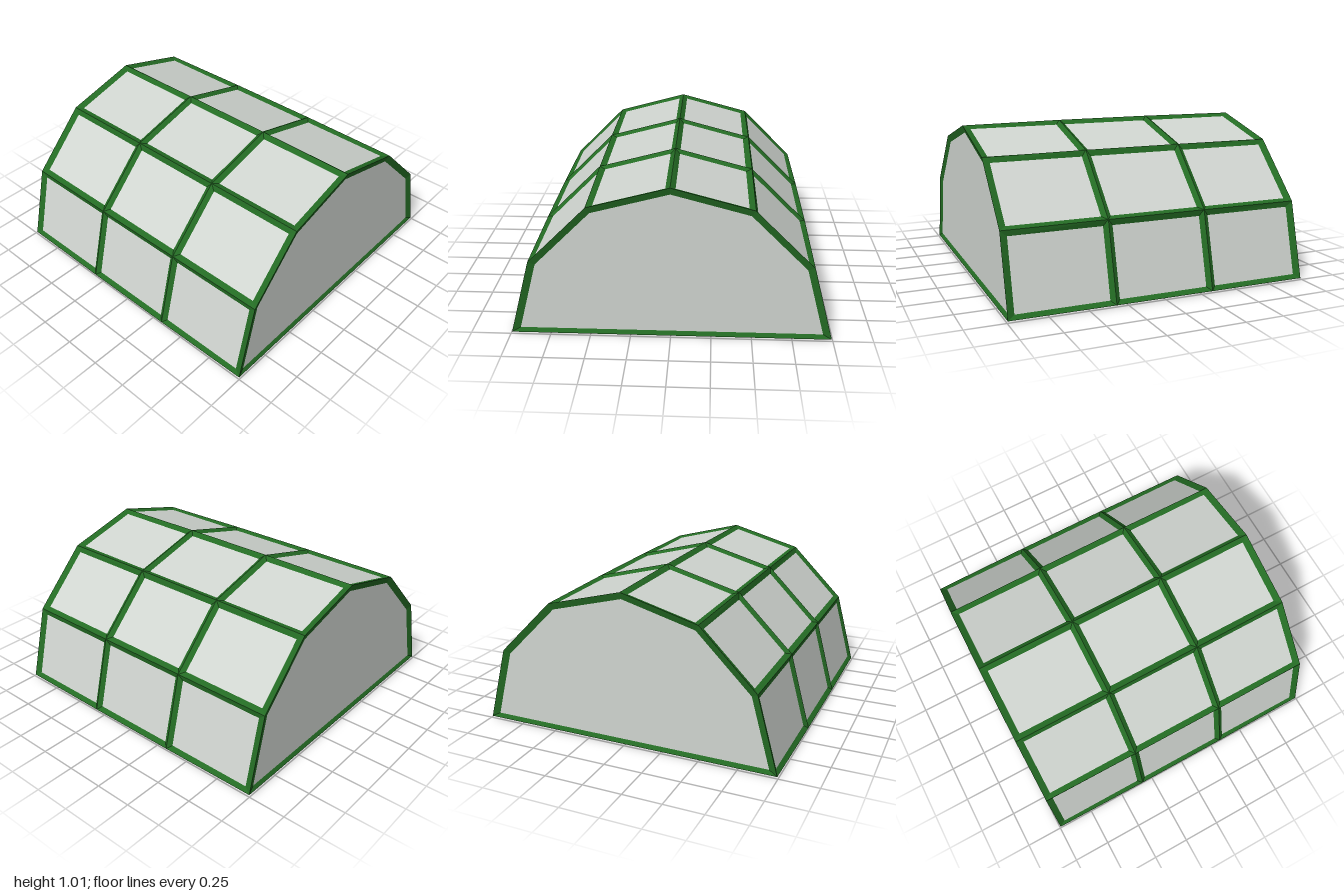
import * as THREE from 'three';

const R = 0.98;      // radius of the six-sided arch
const BASE = 0.008;  // height of the lower edge
const HALF = 0.98;   // half the length
const SIDES = 6, BAYS = 3;
const RIDGE = 0.02;  // how far a bar stands out from the pane, on both sides
const WIDTH = 0.031; // half width of a bar

// Grid point k around the arch, j along the length, with its outward normal
function node(k, j) {
  const a = (k / SIDES) * Math.PI;
  const tilt = Math.PI / SIDES / 2;
  const na = k === 0 ? tilt : k === SIDES ? Math.PI - tilt : a;
  const nz = j === 0 ? -1 : j === BAYS ? 1 : 0;
  return {
    p: new THREE.Vector3(R * Math.cos(a), BASE + R * Math.sin(a), HALF * (2 * j / BAYS - 1)),
    n: new THREE.Vector3(Math.cos(na), Math.sin(na), nz).normalize(),
  };
}

function flatGeometry(points) {
  const g = new THREE.BufferGeometry().setFromPoints(points);
  g.computeVertexNormals();
  return g;
}

// Flat pane filling a convex face
function paneGeometry(face) {
  const pts = [];
  for (let i = 1; i < face.length - 1; i++) pts.push(face[0].p, face[i].p, face[i + 1].p);
  return flatGeometry(pts);
}

// Bevelled half bars around a face, ridged on the outside and the inside
function barGeometry(face) {
  const pts = [];
  const quad = (a, b, c, d) => pts.push(a, b, c, a, c, d);
  const corners = face.map(({ p, n }, i) => {
    const next = face[(i + 1) % face.length].p;
    const prev = face[(i + face.length - 1) % face.length].p;
    const a = next.clone().sub(p).normalize();
    const b = prev.clone().sub(p).normalize();
    const inset = p.clone().addScaledVector(a.clone().add(b), WIDTH / Math.sin(a.angleTo(b)));
    return {
      inset,
      outer: p.clone().addScaledVector(n, RIDGE),
      inner: p.clone().addScaledVector(n, -RIDGE),
    };
  });
  corners.forEach((c, i) => {
    const d = corners[(i + 1) % corners.length];
    quad(c.outer, d.outer, d.inset, c.inset);
    quad(c.inner, c.inset, d.inset, d.inner);
  });
  return flatGeometry(pts);
}

export function createModel() {
  const model = new THREE.Group();
  model.name = 'greenhouse';

  const frameGreen = new THREE.MeshStandardMaterial({ color: 0x246c24 });
  frameGreen.name = 'frameGreen';
  const paneGrey = new THREE.MeshStandardMaterial({ color: 0xd0d5d0, side: THREE.DoubleSide });
  paneGrey.name = 'paneGrey';

  function addFace(face, name) {
    const group = new THREE.Group();
    group.name = name;
    const pane = new THREE.Mesh(paneGeometry(face), paneGrey);
    pane.name = name + 'Pane';
    const bars = new THREE.Mesh(barGeometry(face), frameGreen);
    bars.name = name + 'Frame';
    group.add(pane, bars);
    model.add(group);
  }

  // Curved roof and sides
  for (let k = 0; k < SIDES; k++) {
    for (let j = 0; j < BAYS; j++) {
      addFace([node(k, j), node(k + 1, j), node(k + 1, j + 1), node(k, j + 1)], 'roofPanel');
    }
  }

  // End walls, open underneath
  const arch = (j) => Array.from({ length: SIDES + 1 }, (_, k) => node(k, j));
  addFace(arch(BAYS), 'frontWall');
  addFace(arch(0).reverse(), 'backWall');

  return model;
}
